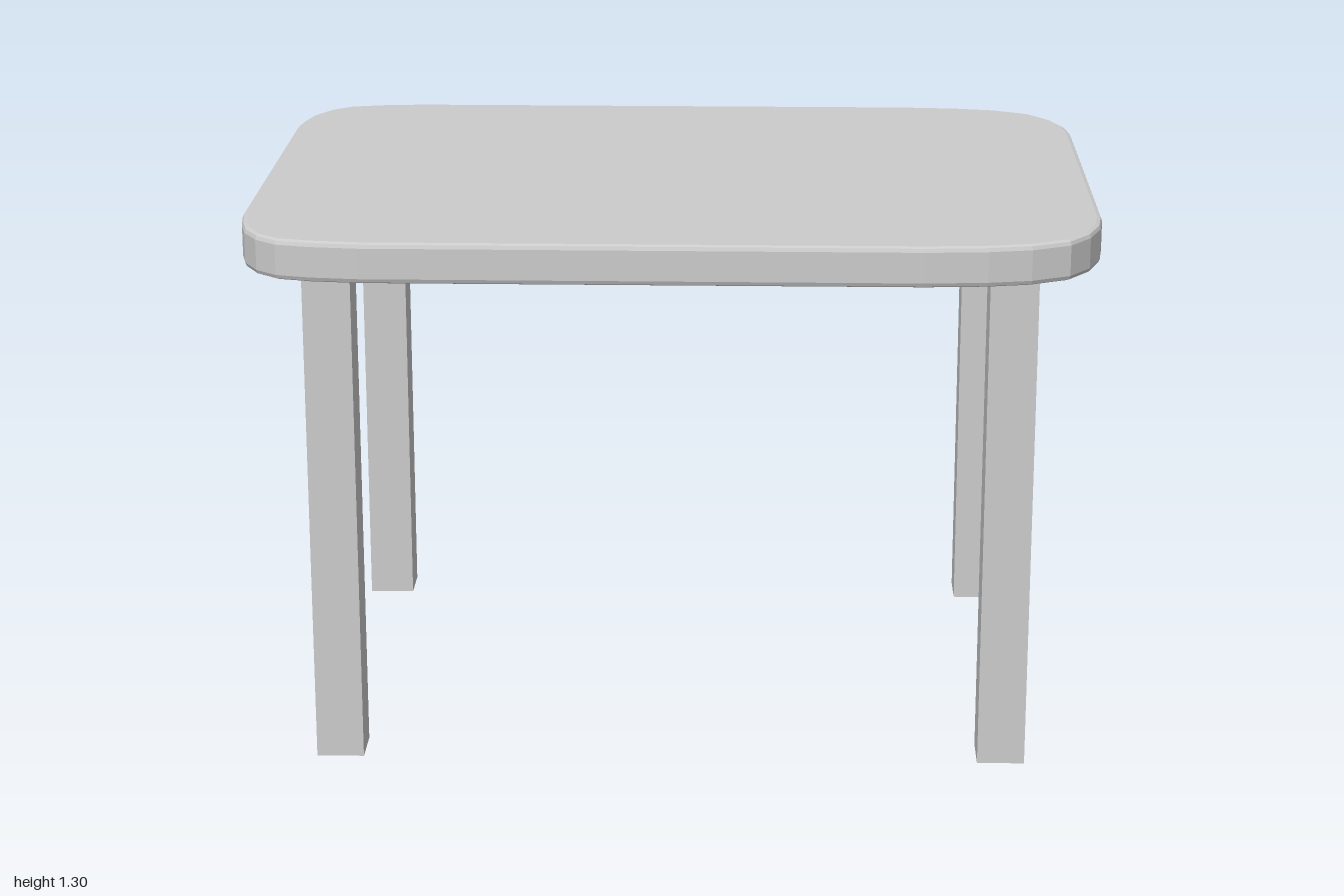
import * as THREE from 'three';

// Half of the tabletop outline, from the +x side round to the -x side
const HALF_OUTLINE = [
  [1, 0.44], [0.99, 0.52], [0.96, 0.605], [0.91, 0.675], [0.82, 0.72], [0.72, 0.74], [0.58, 0.75],
  [-0.7, 0.75], [-0.81, 0.738], [-0.89, 0.718], [-0.94, 0.675], [-0.975, 0.61], [-0.99, 0.545], [-1, 0.47],
];

const TOP_Y = 1.3;
const TOP_THICKNESS = 0.095;
const BEVEL = 0.012;
const LEG_SIZE = 0.112;

export function createModel() {
  const group = new THREE.Group();
  group.name = 'table';
  const material = new THREE.MeshStandardMaterial({ color: 0xcccccc, flatShading: true });

  // Tabletop: rounded slab with softened rims, the outline mirrored front to back
  const mirrored = HALF_OUTLINE.map(([x, z]) => [x, -z]).reverse();
  const outline = [...HALF_OUTLINE, ...mirrored].map(([x, z]) => new THREE.Vector2(x, z));
  const slab = new THREE.ExtrudeGeometry(new THREE.Shape(outline), {
    depth: TOP_THICKNESS - 2 * BEVEL,
    bevelEnabled: true,
    bevelThickness: BEVEL,
    bevelSize: BEVEL,
    bevelOffset: -BEVEL,
    bevelSegments: 2,
  });
  slab.rotateX(-Math.PI / 2);
  slab.translate(0, TOP_Y - TOP_THICKNESS + BEVEL, 0);
  const top = new THREE.Mesh(slab, material);
  top.name = 'tabletop';
  group.add(top);

  // Four square legs, reaching just into the underside of the slab
  const legHeight = TOP_Y - TOP_THICKNESS + 0.005;
  const legGeometry = new THREE.BoxGeometry(LEG_SIZE, legHeight, LEG_SIZE);
  for (const [sx, side] of [[1, 'Left'], [-1, 'Right']]) {
    for (const [sz, end] of [[1, 'front'], [-1, 'back']]) {
      const leg = new THREE.Mesh(legGeometry, material);
      leg.name = `${end}${side}Leg`;
      leg.position.set(sx * 0.79, legHeight / 2, sz * 0.568);
      group.add(leg);
    }
  }
  return group;
}
